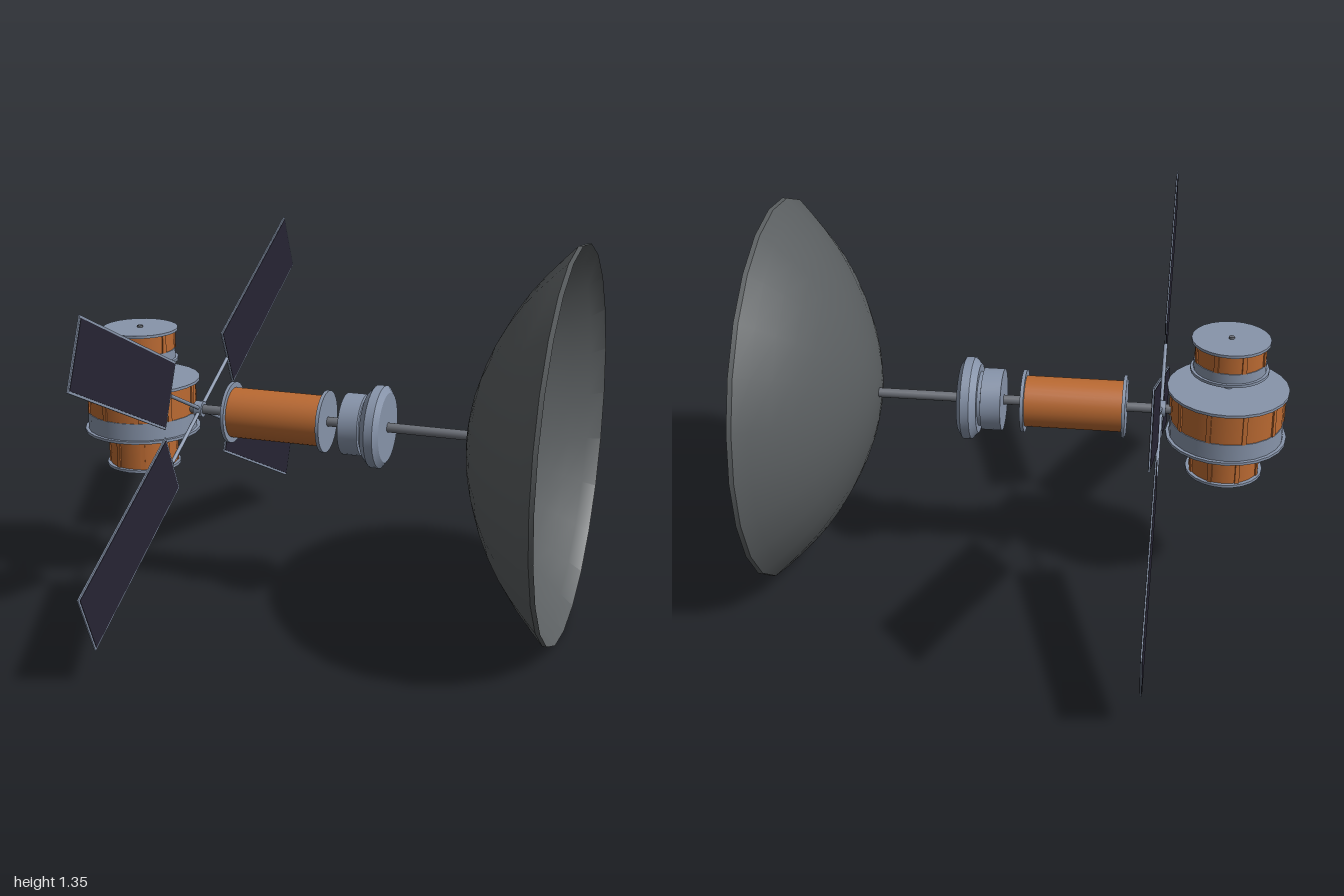
import * as THREE from 'three';
import { toCreasedNormals } from 'three/addons/utils/BufferGeometryUtils.js';

const material = (name, color, side = THREE.FrontSide) => {
  const m = new THREE.MeshStandardMaterial({ color, side });
  m.name = name;
  return m;
};

export function createModel() {
  const metal = material('blue grey metal', 0x8794aa);
  const foil = material('orange foil', 0xbb6a32);
  const dishGrey = material('dish grey', 0x5a5e60);
  const rodGrey = material('rod grey', 0x6c7078);
  const cell = material('solar cell', 0x262433);

  const root = new THREE.Group();
  root.name = 'spacecraft';
  const AXIS = 0.675;

  const add = (parent, name, geometry, mat) => {
    const mesh = new THREE.Mesh(geometry, mat);
    mesh.name = name;
    parent.add(mesh);
    return mesh;
  };
  const group = (name, parent) => {
    const g = new THREE.Group();
    g.name = name;
    parent.add(g);
    return g;
  };
  // Cylinder spanning y0..y1 along the local y axis
  const tube = (parent, name, r, y0, y1, mat, sides = 24) => {
    const mesh = add(parent, name, new THREE.CylinderGeometry(r, r, y1 - y0, sides), mat);
    mesh.position.y = (y0 + y1) / 2;
    return mesh;
  };
  // Turned part from [radius, height] pairs, with sharp edges kept
  const turned = (parent, name, pts, mat, sides = 24) => add(parent, name,
    toCreasedNormals(new THREE.LatheGeometry(pts.map(p => new THREE.Vector2(...p)), sides), 0.5), mat);

  // Long boom: local y runs along the model's x axis
  const boom = group('boom', root);
  boom.position.y = AXIS;
  boom.rotation.z = -Math.PI / 2;
  tube(boom, 'boomRod', 0.017, -0.5, 0.56, rodGrey, 16);
  tube(boom, 'feedTip', 0.018, 0.545, 0.578, metal, 12);
  tube(boom, 'panelHub', 0.029, -0.474, -0.444, metal, 16);

  // Foil-wrapped tank with end flanges
  tube(boom, 'tank', 0.09, -0.327, 0.017, foil, 32);
  tube(boom, 'tankFlange', 0.11, -0.337, -0.325, metal, 32);
  tube(boom, 'tankFlange', 0.11, 0.015, 0.027, metal, 32);

  // Stepped collar in front of the tank
  turned(boom, 'collar', [
    [0, 0.095], [0.109, 0.095], [0.109, 0.165], [0.097, 0.167], [0.097, 0.178],
    [0.122, 0.178], [0.145, 0.2], [0.145, 0.23], [0.122, 0.246], [0, 0.246],
  ], metal, 32);

  // Dish: convex back, narrow lip and concave face
  const profile = [[0, 0.54], [0.06, 0.543], [0.13, 0.554], [0.2, 0.571], [0.28, 0.599],
    [0.36, 0.634], [0.44, 0.678], [0.51, 0.725], [0.57, 0.774], [0.63, 0.83], [0.674, 0.874]];
  const face = profile.map(([r, y]) => [r, y + 0.013]).reverse();
  turned(boom, 'dishBack', profile, dishGrey);
  turned(boom, 'dishLip', [[0.674, 0.874], [0.675, 0.89]], dishGrey);
  turned(boom, 'dishFace', [[0.675, 0.89], ...face], dishGrey);

  // Drum station on a vertical mast
  const station = group('station', root);
  station.position.x = -0.685;
  tube(station, 'mast', 0.016, 0.46, 0.95, metal, 16);
  tube(station, 'mastCap', 0.01, 0.955, 0.967, rodGrey, 12);

  const drum = (name, y0, y1, bodyR, flangeR, bandTop, ribs) => {
    const g = group(name, station);
    const t = 0.01;
    tube(g, 'lowerFlange', flangeR, y0, y0 + t, metal);
    tube(g, 'upperFlange', flangeR, y1 - t, y1, metal);
    const foilBottom = bandTop || y0 + t;
    if (bandTop) tube(g, 'band', bodyR + 0.003, y0 + t, bandTop, metal);
    tube(g, 'foilBody', bodyR, foilBottom, y1 - t, foil);
    // Slim raised seams around the foil
    const h = y1 - t - foilBottom;
    for (let i = 0; i < ribs; i++) {
      const a = ((i + 0.5) / ribs) * Math.PI * 2;
      const rib = add(g, 'seam', new THREE.BoxGeometry(0.016, h, 0.012), foil);
      rib.position.set(Math.sin(a) * (bodyR - 0.002), foilBottom + h / 2, Math.cos(a) * (bodyR - 0.002));
      rib.rotation.y = a;
    }
  };
  drum('lowerDrum', 0.45, 0.572, 0.122, 0.135, 0, 8);
  drum('mainDrum', 0.583, 0.775, 0.195, 0.21, 0.655, 10);
  drum('upperDrum', 0.84, 0.96, 0.122, 0.135, 0.885, 8);

  // Four solar panels in one plane, each on a thin strut
  const wings = group('solarPanels', root);
  wings.position.set(-0.457, AXIS, 0);
  const inner = 0.287, outer = 1.045, width = 0.238, border = 0.008;
  for (const degrees of [25, -25, 155, -155]) {
    const wing = group('solarPanel', wings);
    wing.rotation.x = THREE.MathUtils.degToRad(degrees);
    const strut = add(wing, 'strut', new THREE.CylinderGeometry(0.007, 0.007, inner, 10), metal);
    strut.rotation.x = Math.PI / 2;
    strut.position.z = inner / 2;
    const length = outer - inner, mid = (outer + inner) / 2;
    add(wing, 'panelFrame', new THREE.BoxGeometry(0.005, width, length), metal).position.z = mid;
    add(wing, 'panelCells',
      new THREE.BoxGeometry(0.008, width - 2 * border, length - 2 * border), cell).position.z = mid;
  }
  return root;
}
